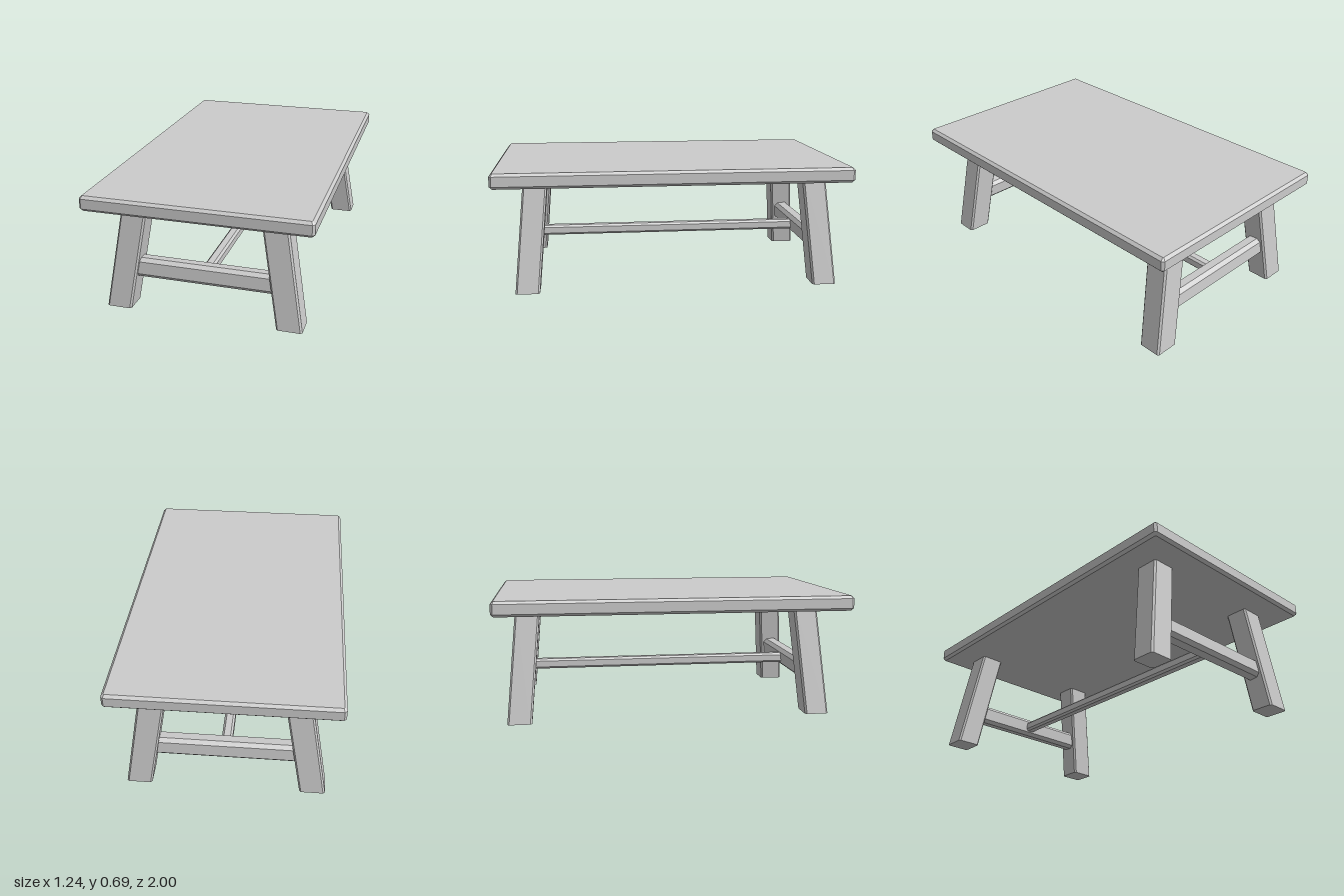
import * as THREE from 'three';

const material = new THREE.MeshStandardMaterial({ color: 0xcccccc, flatShading: true });

// Rectangle with its four corners cut at 45 degrees
function chamferedRect(w, h, c) {
  const x = w / 2, y = h / 2;
  return new THREE.Shape([
    [x - c, -y], [x, -y + c], [x, y - c], [x - c, y],
    [-x + c, y], [-x, y - c], [-x, -y + c], [-x + c, -y],
  ].map(([a, b]) => new THREE.Vector2(a, b)));
}

// Straight chamfered bar along z, centred on the origin
function bar(w, h, c, length) {
  return new THREE.ExtrudeGeometry(chamferedRect(w, h, c), { depth: length, bevelEnabled: false })
    .translate(0, 0, -length / 2);
}

function addMesh(parent, name, geometry) {
  const mesh = new THREE.Mesh(geometry, material);
  mesh.name = name;
  parent.add(mesh);
  return mesh;
}

export function createModel() {
  const table = new THREE.Group();
  table.name = 'table';

  // Tabletop: slab with every edge chamfered
  const c = 0.015, topY = 0.69, thickness = 0.085;
  const top = new THREE.ExtrudeGeometry(chamferedRect(1.24 - 2 * c, 2 - 2 * c, 0.004), {
    depth: thickness - 2 * c, bevelEnabled: true, bevelSize: c, bevelThickness: c, bevelSegments: 1,
  });
  top.rotateX(-Math.PI / 2).translate(0, topY - thickness + c, 0);
  addMesh(table, 'tabletop', top);

  // Leg: splayed outward to the floor in both directions, cut level at both ends
  const legHeight = 0.615, slopeX = 0.165, slopeZ = 0.09;
  function leg(sideX, sideZ, footZ) {
    const g = bar(0.142, 0.135, 0.01, legHeight).rotateX(-Math.PI / 2).translate(0, legHeight / 2, 0);
    const p = g.attributes.position;
    for (let i = 0; i < p.count; i++) {
      const y = p.getY(i);
      p.setX(i, p.getX(i) + sideX * (0.482 - slopeX * y));
      p.setZ(i, p.getZ(i) + footZ - sideZ * slopeZ * y);
    }
    g.computeVertexNormals();
    return g;
  }

  // Two trestles, each with a pair of legs and a cross rail leaning with them
  const railY = 0.233;
  for (const [end, sideZ, footZ] of [['front', 1, 0.824], ['back', -1, -0.868]]) {
    addMesh(table, end + 'LeftLeg', leg(1, sideZ, footZ));
    addMesh(table, end + 'RightLeg', leg(-1, sideZ, footZ));
    const rail = addMesh(table, end + 'Rail', bar(0.09, 0.11, 0.02, 0.82).rotateY(Math.PI / 2));
    rail.position.set(0, railY, footZ - sideZ * slopeZ * railY);
    rail.rotation.x = -sideZ * slopeZ;
  }

  // Long stretcher joining the two rails
  const stretcher = addMesh(table, 'stretcher', bar(0.06, 0.06, 0.012, 1.6));
  stretcher.position.set(0, 0.231, -0.022);

  return table;
}
